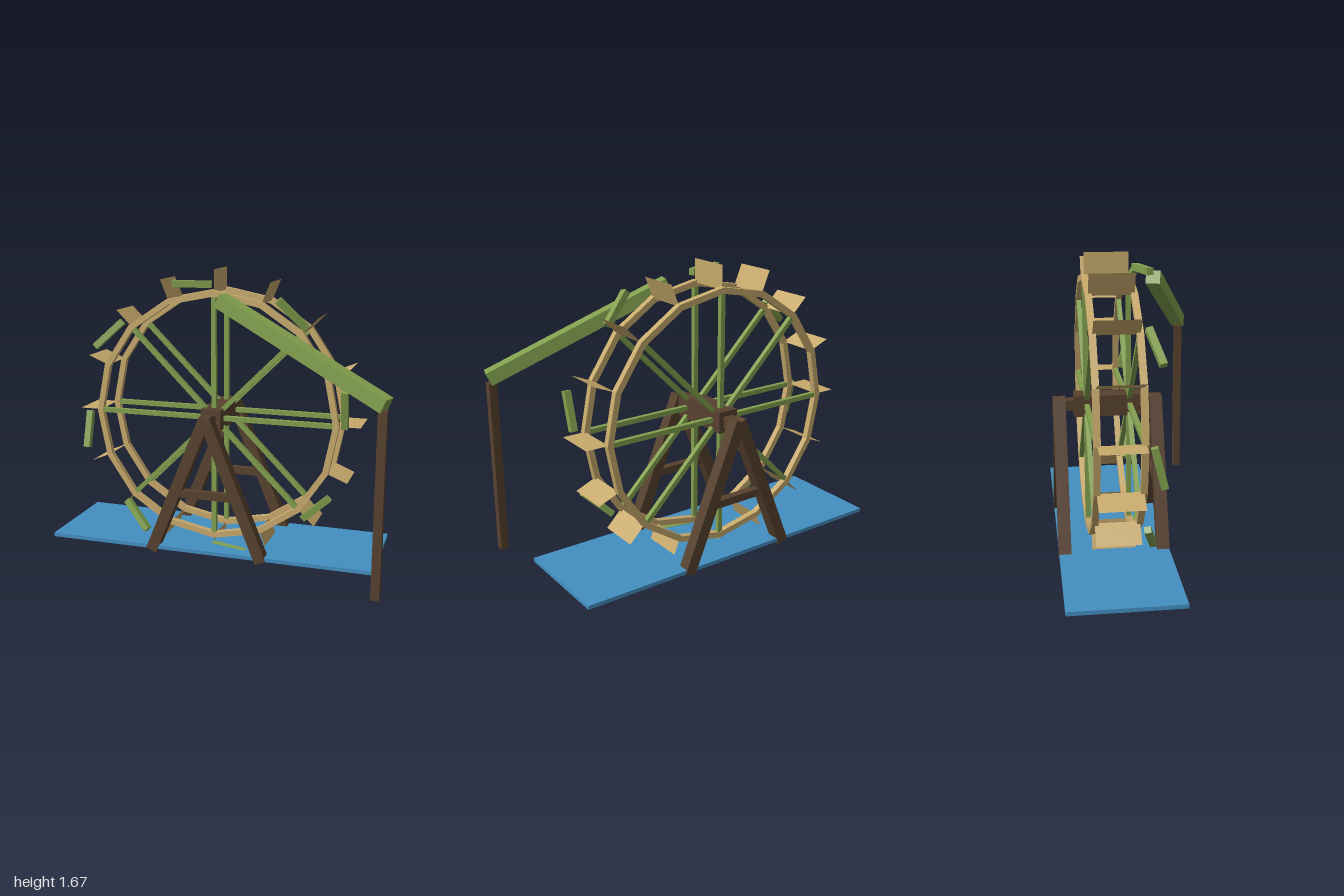
import * as THREE from 'three';

export function createModel() {
  const model = new THREE.Group();
  model.name = 'waterWheel';

  const mat = (name, color, side = THREE.FrontSide) => {
    const m = new THREE.MeshStandardMaterial({ color, side });
    m.name = name;
    return m;
  };
  const darkWood = mat('dark wood', 0x57412e);
  const paleWood = mat('pale wood', 0xc8aa6c, THREE.DoubleSide);
  const bamboo = mat('green bamboo', 0x82a04e);
  const water = mat('water blue', 0x4490c2);

  const add = (parent, name, geometry, material, x = 0, y = 0, z = 0) => {
    const mesh = new THREE.Mesh(geometry, material);
    mesh.name = name;
    mesh.position.set(x, y, z);
    parent.add(mesh);
    return mesh;
  };
  const box = (parent, name, w, h, d, material, x, y, z) =>
    add(parent, name, new THREE.BoxGeometry(w, h, d), material, x, y, z);

  const CX = -0.045, CY = 0.84, CZ = -0.153; // wheel centre
  const RIM_Z = 0.118;                       // rim offset from the wheel's middle

  // Water slab
  box(model, 'water', 1.91, 0.022, 0.6, water, -0.045, 0.088, CZ);

  // Wheel, turning about z
  const wheel = new THREE.Group();
  wheel.name = 'wheel';
  wheel.position.set(CX, CY, CZ);
  model.add(wheel);

  // Two sixteen-sided rims with spokes
  const polygon = (r) => Array.from({ length: 16 }, (_, i) => {
    const a = (i * Math.PI) / 8;
    return new THREE.Vector2(r * Math.cos(a), r * Math.sin(a));
  });
  const ring = new THREE.Shape(polygon(0.72));
  ring.holes.push(new THREE.Path(polygon(0.686)));
  const rimGeometry = new THREE.ExtrudeGeometry(ring, { depth: 0.035, bevelEnabled: false });
  rimGeometry.translate(0, 0, -0.0175);
  for (const side of [1, -1]) {
    add(wheel, 'rim', rimGeometry, paleWood, 0, 0, side * RIM_Z);
    for (let i = 0; i < 4; i++) {
      const spoke = box(wheel, 'spoke', 1.39, 0.027, 0.027, bamboo, 0, 0, side * RIM_Z);
      spoke.rotation.z = (i * Math.PI) / 4;
    }
  }

  // Thin radial paddles
  const paddleGeometry = new THREE.PlaneGeometry(0.13, 0.238).rotateX(Math.PI / 2);
  for (let i = 0; i < 16; i++) {
    const a = (i * Math.PI) / 8;
    const paddle = add(wheel, 'paddle', paddleGeometry, paleWood,
      0.77 * Math.cos(a), 0.77 * Math.sin(a), 0);
    paddle.rotation.z = a;
  }

  // Tilted bamboo scoops in front of the wheel
  for (let i = 0; i < 8; i++) {
    const arm = new THREE.Group();
    arm.name = 'scoopMount';
    arm.rotation.z = (i * Math.PI) / 4;
    wheel.add(arm);
    const scoop = box(arm, 'scoop', 0.217, 0.037, 0.037, bamboo, -0.108, 0.757, 0.027 - CZ);
    scoop.rotation.set(0, 0.24, -0.02);
  }

  // Hub and axle
  box(wheel, 'hub', 0.118, 0.118, 0.375, darkWood, 0, 0, 0);
  box(wheel, 'axle', 0.06, 0.06, 0.595, darkWood, 0, 0, 0);

  // A-frame supports in front and behind
  for (const side of [1, -1]) {
    const frame = new THREE.Group();
    frame.name = 'supportFrame';
    frame.position.set(CX, 0, CZ + side * 0.268);
    model.add(frame);
    for (const s of [1, -1]) {
      const leg = box(frame, 'leg', 0.066, 0.866, 0.068, darkWood, s * 0.164, 0.467, 0);
      leg.rotation.z = s * Math.atan2(0.327, 0.8);
    }
    box(frame, 'crossbar', 0.32, 0.043, 0.045, darkWood, 0, 0.422, 0);
  }

  // Sloping chute and the post that carries it
  const top = new THREE.Vector3(0.04, 1.523, 0.112);
  const end = new THREE.Vector3(0.983, 1.077, 0.418);
  const mid = top.clone().add(end).multiplyScalar(0.5);
  const chute = box(model, 'chute', 0.08, 0.075, top.distanceTo(end), bamboo, mid.x, mid.y, mid.z);
  chute.lookAt(end);
  box(model, 'post', 0.046, 0.985, 0.046, darkWood, 0.967, 0.557, 0.415);

  return model;
}
